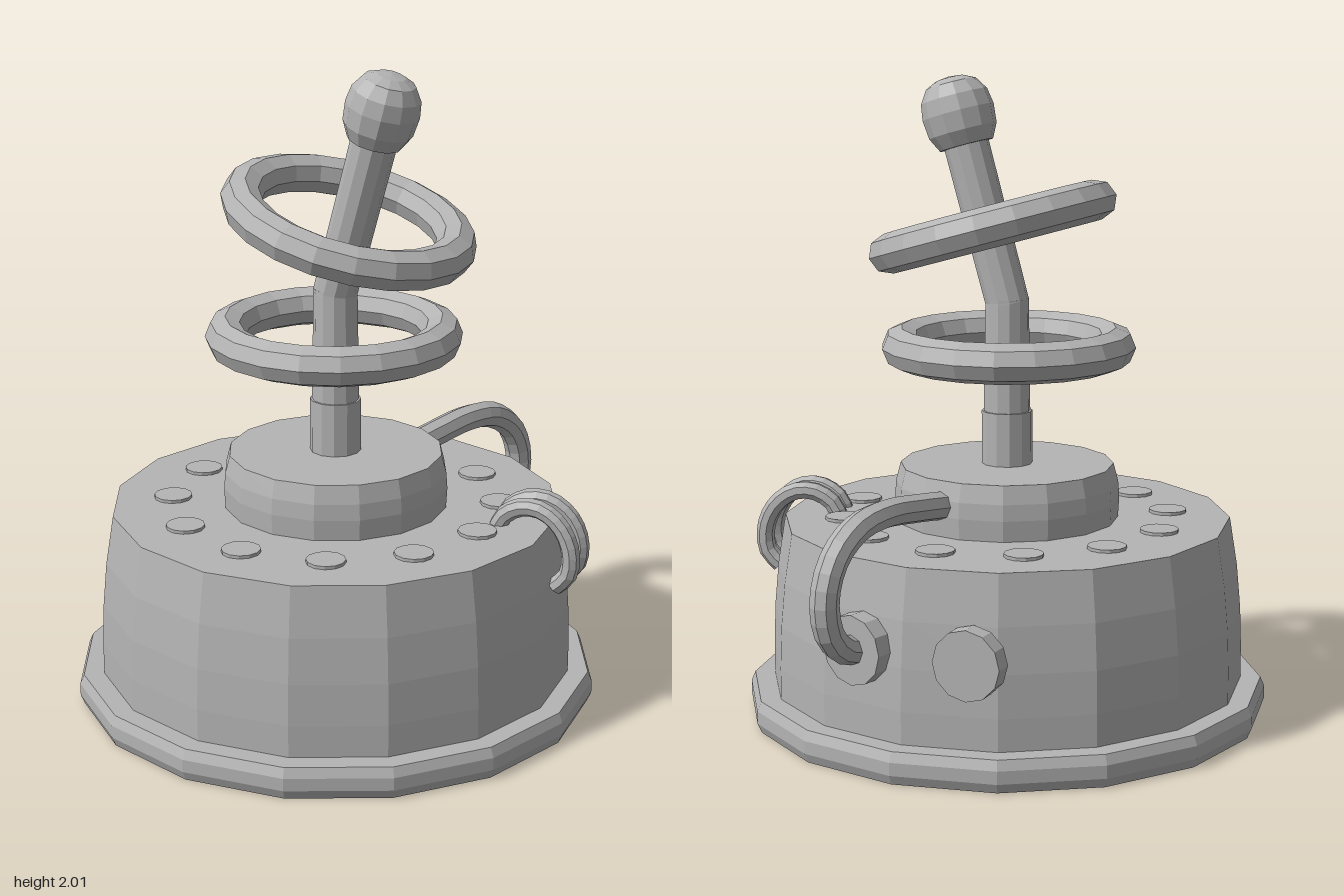
import * as THREE from 'three';

const grey = new THREE.MeshStandardMaterial({ color: 0xb4b4b4 });
grey.name = 'metal grey';
grey.flatShading = true;

function add(parent, name, geometry, x = 0, y = 0, z = 0) {
  const mesh = new THREE.Mesh(geometry, grey);
  mesh.name = name;
  mesh.position.set(x, y, z);
  parent.add(mesh);
  return mesh;
}

// Turned part from [radius, height] pairs, bottom to top
const turned = (profile, sides = 16) =>
  new THREE.LatheGeometry(profile.map(([r, y]) => new THREE.Vector2(r, y)), sides);

const tube = (points, radius, steps, sides) => new THREE.TubeGeometry(
  new THREE.CatmullRomCurve3(points.map((p) => new THREE.Vector3(...p))), steps, radius, sides);

export function createModel() {
  const model = new THREE.Group();
  model.name = 'antennaDevice';

  // Everything turned stands on one axis, slightly forward of centre
  const core = new THREE.Group();
  core.name = 'core';
  core.position.z = 0.05;
  model.add(core);

  add(core, 'basePlate', turned([[0, 0], [0.812, 0], [0.825, 0.03], [0.825, 0.07], [0.812, 0.1], [0, 0.1]]));
  add(core, 'body', turned([[0.748, 0.09], [0.748, 0.2], [0.743, 0.33], [0.73, 0.47], [0.705, 0.625], [0, 0.625]]));
  add(core, 'collar', turned([[0.35, 0.6], [0.355, 0.69], [0.351, 0.74], [0.336, 0.797], [0, 0.797]]));

  // Ring of studs on the body top
  for (let i = 0; i < 12; i++) {
    const a = (i * Math.PI) / 6;
    add(core, 'stud', new THREE.CylinderGeometry(0.06, 0.06, 0.03, 12),
      0.515 * Math.sin(a), 0.62, 0.515 * Math.cos(a));
  }

  // Straight lower mast
  add(core, 'mastSleeve', new THREE.CylinderGeometry(0.08, 0.08, 0.19, 12), 0, 0.87, 0);
  add(core, 'lowerMast', new THREE.CylinderGeometry(0.068, 0.074, 0.4, 12), 0, 1.12, 0);
  const ring = () => new THREE.TorusGeometry(0.336, 0.063, 8, 20).rotateX(Math.PI / 2);
  add(core, 'lowerRing', ring(), -0.005, 1.17, 0);

  // Bent upper mast with its ring and knob
  const bent = new THREE.Group();
  bent.name = 'bentMast';
  bent.position.y = 1.31;
  bent.rotation.z = -0.28;
  core.add(bent);
  add(bent, 'upperMast', new THREE.CylinderGeometry(0.071, 0.068, 0.56, 12), 0, 0.27, 0);
  add(bent, 'upperRing', ring(), -0.015, 0.235, 0);
  add(bent, 'knob', turned([[0, -0.105], [0.085, -0.105], [0.108, -0.06], [0.114, 0],
    [0.106, 0.05], [0.08, 0.09], [0.045, 0.107], [0, 0.113]], 12), 0, 0.605, 0);

  // Rear hose from the collar down to its socket
  const hose = [[-0.24, 0.715], [-0.4, 0.735], [-0.55, 0.748], [-0.68, 0.73], [-0.78, 0.66],
    [-0.825, 0.55], [-0.805, 0.44], [-0.75, 0.385], [-0.66, 0.36]];
  add(model, 'hose', tube(hose.map(([z, y]) => [0.085 + (-z - 0.35) * 0.194, y, z]), 0.044, 22, 8));

  // Two round sockets on the back wall
  for (const [x, turn] of [[0.15, -0.22], [-0.215, 0]]) {
    const socket = add(model, 'socket', new THREE.CylinderGeometry(0.107, 0.107, 0.06, 12).rotateX(Math.PI / 2),
      x, 0.37, -0.68);
    socket.rotation.y = turn;
  }

  // Pair of small cables looping over the left edge
  const loop = [[0.51, 0.6], [0.53, 0.65], [0.585, 0.687], [0.65, 0.687], [0.71, 0.645],
    [0.745, 0.57], [0.74, 0.49], [0.7, 0.445]];
  for (const [z0, z1, dx] of [[-0.055, -0.095, 0.013], [-0.13, -0.195, -0.007]]) {
    const path = loop.map(([x, y]) => [x + dx, y, z0 + ((z1 - z0) * (x - 0.51)) / 0.235]);
    add(model, 'cableLoop', tube(path, 0.029, 16, 8));
  }

  return model;
}
